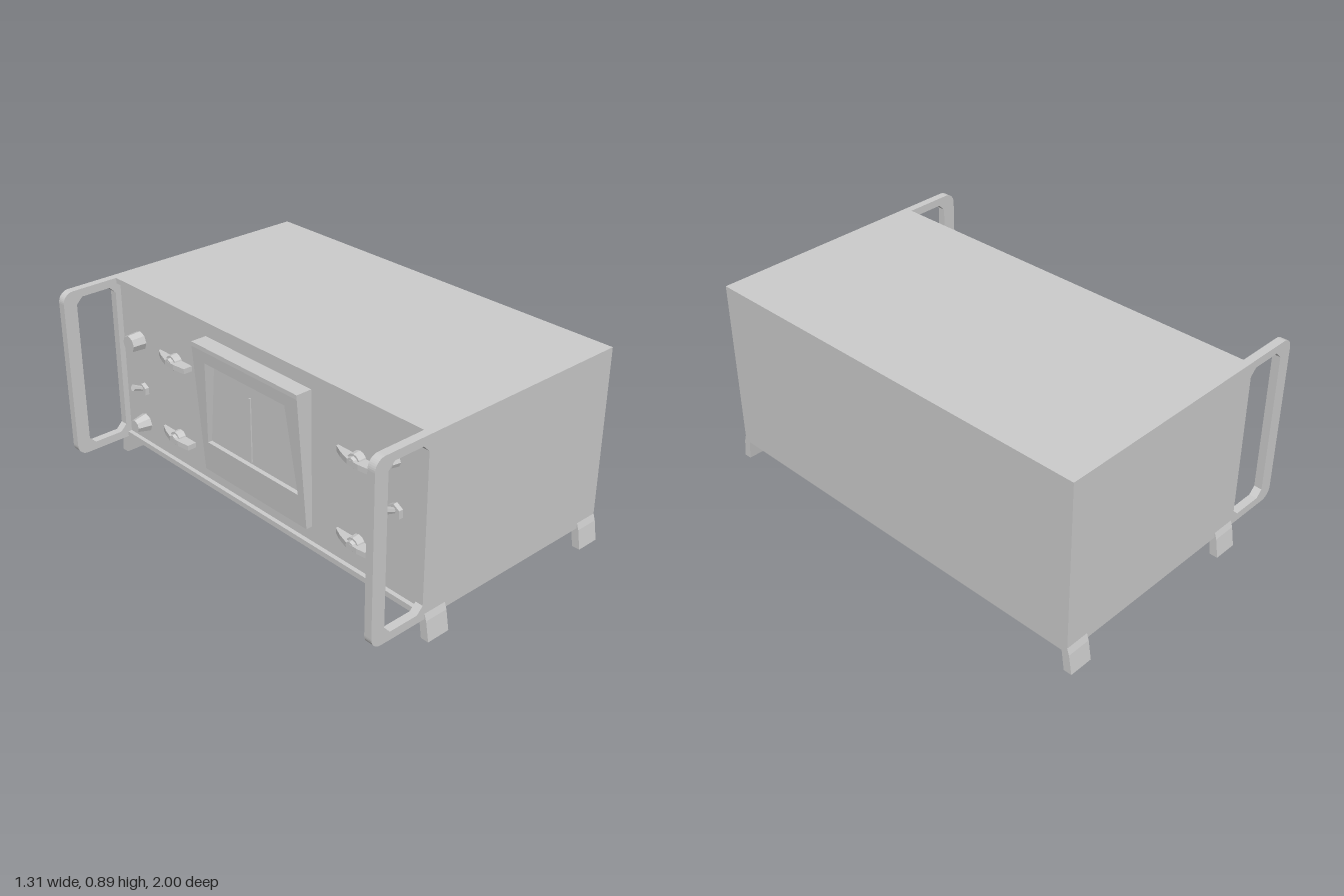
import * as THREE from 'three';

const mat = new THREE.MeshStandardMaterial({ color: 0xcccccc, flatShading: true });

function add(parent, geometry, name, x = 0, y = 0, z = 0) {
  const mesh = new THREE.Mesh(geometry, mat);
  mesh.name = name;
  mesh.position.set(x, y, z);
  parent.add(mesh);
  return mesh;
}

const polygon = (pts) => pts.map(([x, y]) => new THREE.Vector2(x, y));
const extrude = (shape, depth) =>
  new THREE.ExtrudeGeometry(shape, { depth, bevelEnabled: false, curveSegments: 5 });

// Cylinder standing on the panel, pointing outwards
const stud = (rBase, rTip, depth, sides) =>
  new THREE.CylinderGeometry(rTip, rBase, depth, sides).rotateX(Math.PI / 2).translate(0, 0, depth / 2);

// Side plate end with a chamfered hand opening
function handleGeometry() {
  const x0 = -0.655, x1 = -0.36, y0 = 0.095, y1 = 0.895, r = 0.05;
  const s = new THREE.Shape();
  s.moveTo(x1, y0);
  s.lineTo(x1, y1);
  s.lineTo(x0 + r, y1);
  s.absarc(x0 + r, y1 - r, r, Math.PI / 2, Math.PI, false);
  s.absarc(x0 + r, y0 + r, r, Math.PI, Math.PI * 1.5, false);
  s.closePath();
  const a = -0.59, b = -0.388, c = 0.133, d = 0.858, k = 0.03;
  s.holes.push(new THREE.Path(polygon([
    [a + k, c], [b - k, c], [b, c + k], [b, d - k],
    [b - k, d], [a + k, d], [a, d - k], [a, c + k],
  ])));
  return extrude(s, 0.037);
}

// Splayed foot, profile in z and y, swept along x
function footGeometry(side) {
  const pts = [[0.962, 0], [1, 0], [0.985, 0.09], [0.975, 0.12], [0.945, 0.12], [0.948, 0.095]];
  const g = extrude(new THREE.Shape(polygon(pts.map(([z, y]) => [-z * side, y]))), 0.112);
  return g.rotateY(Math.PI / 2);
}

// Meter housing with a sloping face and a trapezoid window
function meterGeometry() {
  const s = new THREE.Shape(polygon([
    [-0.328, 0.19], [0.328, 0.19], [0.328, 0.795], [0.328, 0.815], [-0.328, 0.815], [-0.328, 0.795],
  ]));
  s.holes.push(new THREE.Path(polygon([[-0.29, 0.34], [-0.25, 0.74], [0.25, 0.74], [0.29, 0.34]])));
  const g = extrude(s, 1);
  const p = g.attributes.position;
  for (let i = 0; i < p.count; i++) {
    const slope = Math.min(1, (p.getY(i) - 0.19) / 0.605);
    p.setZ(i, p.getZ(i) * (0.03 + 0.045 * slope));
  }
  g.computeVertexNormals();
  return g;
}

function pointerKnob(panel, x, y) {
  const knob = new THREE.Group();
  knob.name = 'pointerKnob';
  knob.position.set(x, y, 0);
  panel.add(knob);
  add(knob, stud(0.036, 0.034, 0.035, 12), 'pointerBase');
  // Curved wing, tapering to a tip on one side
  const wing = new THREE.Shape(polygon([
    [-0.12, 0], [0.105, 0], [0.105, 0.044], [0.04, 0.052], [-0.02, 0.05], [-0.075, 0.032], [-0.12, 0.01],
  ]));
  add(knob, extrude(wing, 0.024).rotateX(Math.PI / 2), 'pointerWing', 0, 0.012, 0);
  add(knob, stud(0.034, 0.022, 0.05, 8), 'pointerCap');
}

function toggle(panel, x, y, size) {
  const group = new THREE.Group();
  group.name = 'toggleSwitch';
  group.position.set(x, y, 0);
  panel.add(group);
  add(group, stud(0.036 * size, 0.036 * size, 0.02, 6), 'toggleNut');
  const lever = add(group, stud(0.011 * size, 0.017 * size, 0.072, 8), 'toggleLever');
  lever.rotation.x = -0.4;
}

export function createModel() {
  const model = new THREE.Group();
  model.name = 'instrument';

  // Cabinet, with lips above and below the recessed panel
  add(model, new THREE.BoxGeometry(1.015, 0.8, 1.95), 'cabinet', 0.1475, 0.495, 0);
  for (const y of [0.1075, 0.8825])
    add(model, new THREE.BoxGeometry(0.02, 0.025, 1.88), 'panelLip', -0.37, y, 0);

  // Handles and feet on both sides
  for (const side of [-1, 1]) {
    add(model, handleGeometry(), 'handle', 0, 0, side > 0 ? 0.938 : -0.975);
    for (const x of [-0.376, 0.543])
      add(model, footGeometry(side), 'foot', x, 0, 0);
  }

  // Control panel: local x runs along the panel, local z points out of it
  const panel = new THREE.Group();
  panel.name = 'controlPanel';
  panel.position.x = -0.36;
  panel.rotation.y = -Math.PI / 2;
  model.add(panel);

  // Meter with its dial plate and needle
  add(panel, meterGeometry(), 'meterHousing');
  add(panel, new THREE.BoxGeometry(0.6, 0.42, 0.02), 'meterDial', 0, 0.54, 0.01);
  add(panel, new THREE.BoxGeometry(0.008, 0.3, 0.006), 'meterNeedle', -0.02, 0.5, 0.023);

  // Pointer knobs either side of the meter
  for (const x of [-0.54, 0.6])
    for (const y of [0.625, 0.25]) pointerKnob(panel, x, y);

  // Round knobs
  add(panel, stud(0.044, 0.04, 0.065, 8), 'upperKnob', -0.81, 0.63, 0);
  add(panel, stud(0.044, 0.03, 0.065, 8), 'lowerKnob', -0.81, 0.215, 0);
  add(panel, stud(0.028, 0.022, 0.035, 8), 'smallKnob', 0.785, 0.7, 0);

  // Toggle switches
  toggle(panel, -0.8, 0.39, 0.9);
  toggle(panel, 0.8, 0.49, 1);

  return model;
}
